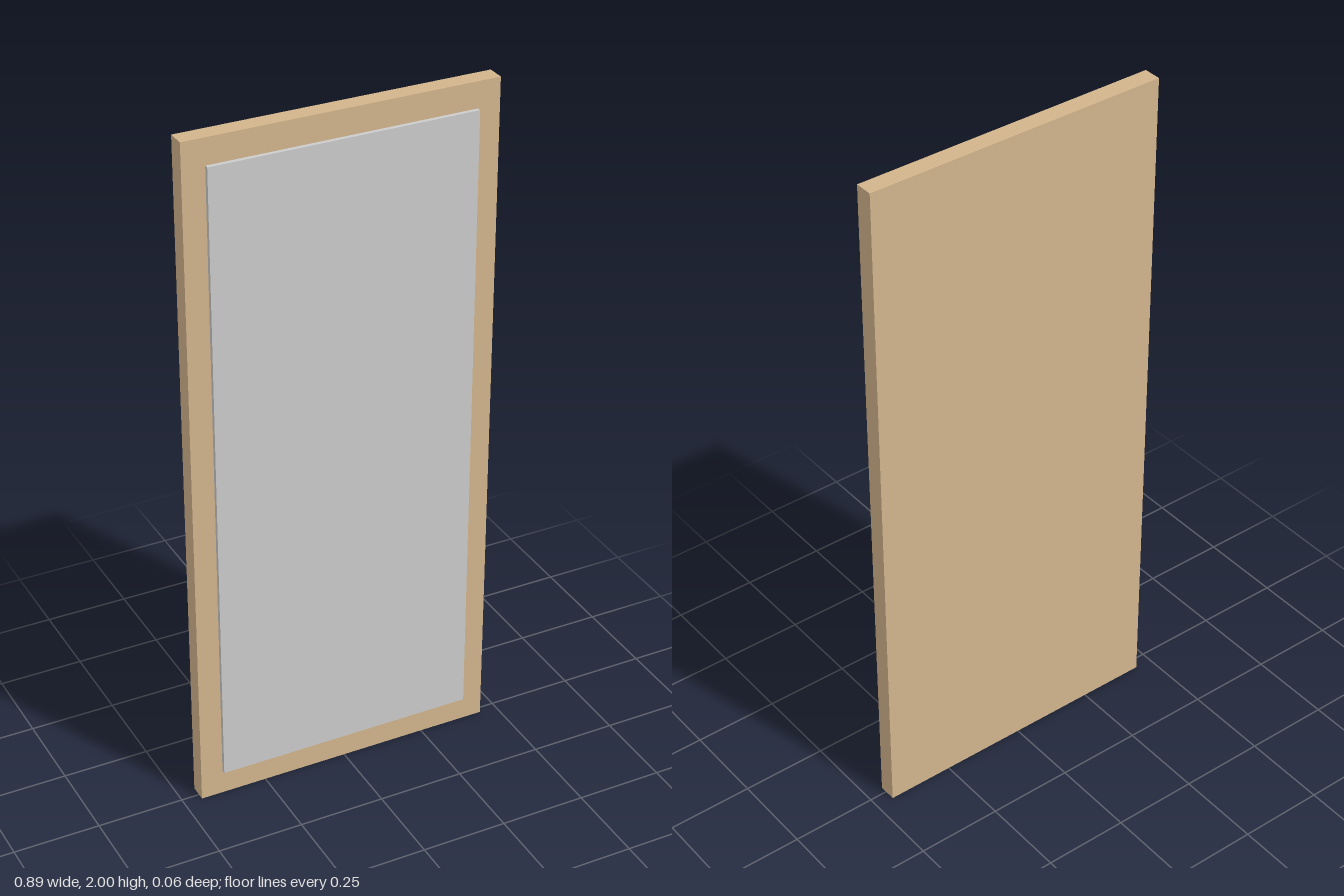
import * as THREE from 'three';

// Box given by its size and the z of its back face, centred at mid height
function slab(name, width, height, depth, backZ, color) {
  const mesh = new THREE.Mesh(
    new THREE.BoxGeometry(width, height, depth),
    new THREE.MeshStandardMaterial({ color })
  );
  mesh.name = name;
  mesh.position.set(0, 1, backZ + depth / 2);
  return mesh;
}

export function createModel() {
  const model = new THREE.Group();
  model.name = 'framedMirror';

  // Wooden backing board, whose border reads as the frame
  model.add(slab('frame', 0.894, 2, 0.052, -0.032, 0xd2b48c));

  // Mirror pane standing slightly proud of the board
  model.add(slab('mirrorPane', 0.764, 1.85, 0.012, 0.02, 0xcccccc));

  return model;
}
